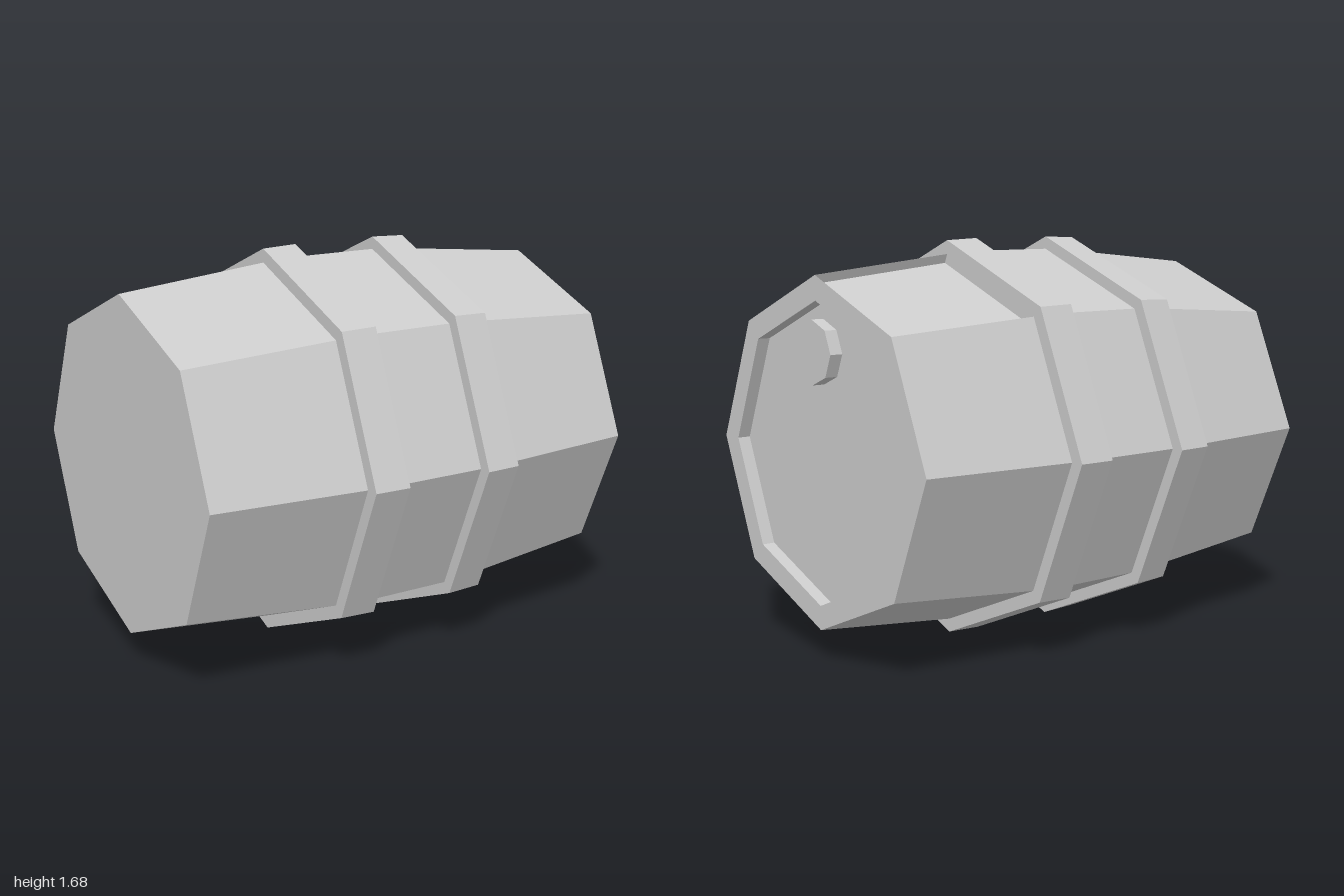
import * as THREE from 'three';

const AXIS_Y = 0.84;
const STEP = Math.PI / 4;
const GAP_START = 5 * STEP; // stave on the upper back side that is sunk

export function createModel() {
  const barrel = new THREE.Group();
  barrel.name = 'barrel';
  const grey = new THREE.MeshStandardMaterial({
    color: 0xcccccc, flatShading: true, side: THREE.DoubleSide,
  });

  const add = (name, geometry) => {
    const mesh = new THREE.Mesh(geometry, grey);
    mesh.name = name;
    mesh.position.y = AXIS_Y;
    barrel.add(mesh);
    return mesh;
  };

  // Eight-sided turned shape lying along x; profile is [x, radius] pairs
  const turned = (profile, start = 0, sides = 8) =>
    new THREE.LatheGeometry(
      profile.map(([x, r]) => new THREE.Vector2(r, x)), sides, start, sides * STEP,
    ).rotateZ(-Math.PI / 2);

  // Staves
  const rightStave = [[0.35, 0.775], [1, 0.71]];
  add('endStaves', turned([[-1, 0], [-1, 0.71], [-0.34, 0.775]]));
  add('middleStaves', turned([[-0.2, 0.785], [0.2, 0.785]]));
  add('bungEndStaves', turned(rightStave, GAP_START + STEP, 7));

  // Sunk stave with its surrounding walls
  const depth = 0.04;
  const inward = new THREE.Vector3(0, -Math.sin(1.5 * STEP), Math.cos(1.5 * STEP)).multiplyScalar(depth);
  add('sunkStave', turned(rightStave, GAP_START, 1).translate(inward.x, inward.y, inward.z));

  const corner = ([x, r], angle) => new THREE.Vector3(x, -r * Math.sin(angle), r * Math.cos(angle));
  const rim = [
    corner(rightStave[0], GAP_START),
    corner(rightStave[1], GAP_START),
    corner(rightStave[1], GAP_START + STEP),
    corner(rightStave[0], GAP_START + STEP),
  ];
  const walls = [];
  rim.forEach((a, i) => {
    const b = rim[(i + 1) % 4];
    const c = b.clone().add(inward);
    const d = a.clone().add(inward);
    walls.push(a, d, b, b, d, c);
  });
  const wallGeometry = new THREE.BufferGeometry().setFromPoints(walls);
  wallGeometry.computeVertexNormals();
  add('sunkStaveWalls', wallGeometry);

  // Recessed end lid
  add('recessedLid', turned([[1, 0.71], [1, 0.61], [0.945, 0.61], [0.945, 0]]));

  // Hoops, slightly wider towards the middle
  add('leftHoop', turned([[-0.345, 0.72], [-0.345, 0.832], [-0.19, 0.838], [-0.19, 0.72]]));
  add('rightHoop', turned([[0.195, 0.72], [0.195, 0.838], [0.35, 0.832], [0.35, 0.72]]));

  // Bung on the lid
  const bung = add('bung', turned([[0.94, 0.13], [1, 0.13], [1, 0]]));
  bung.position.set(0, 1.245, 0.03);

  return barrel;
}
